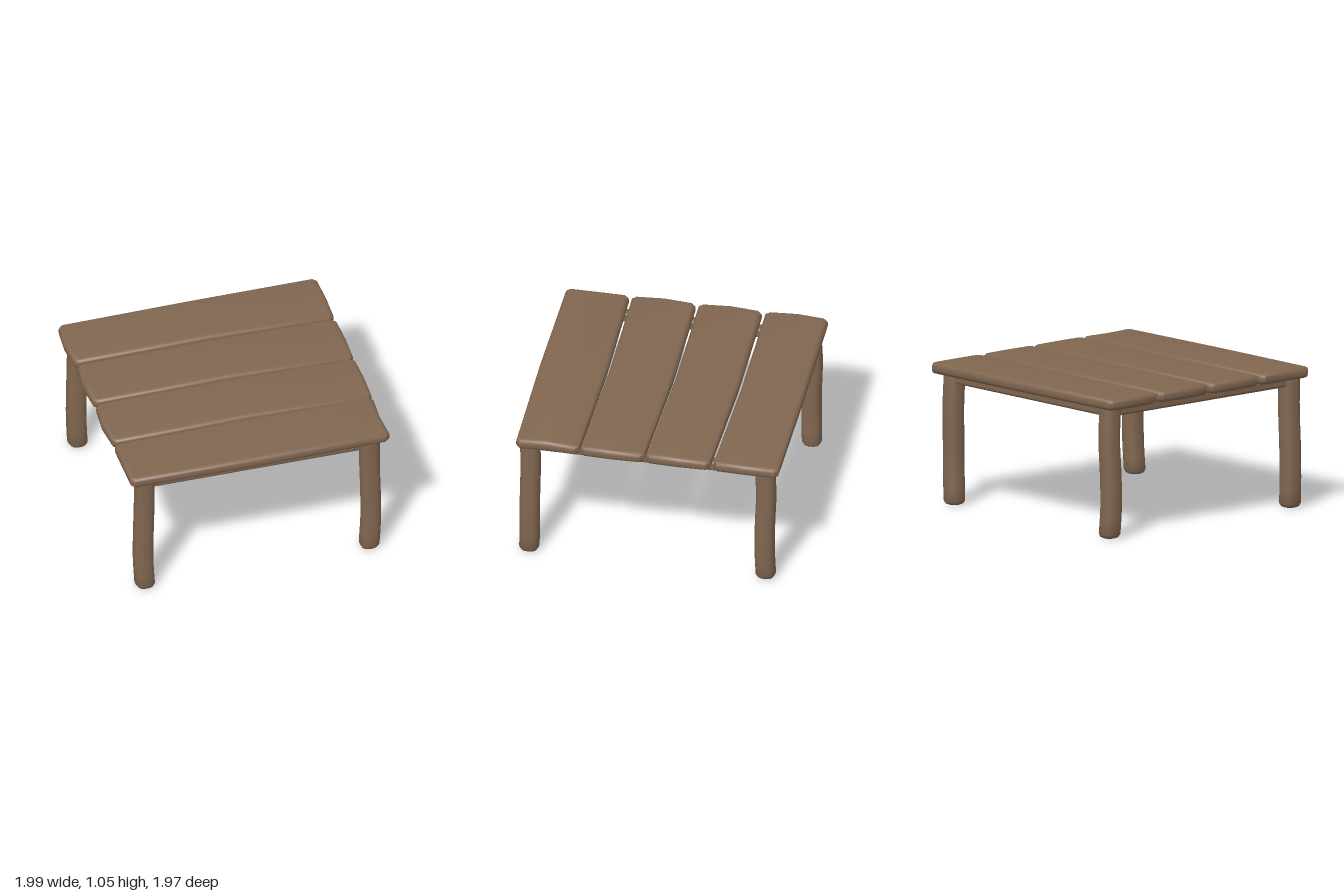
import * as THREE from 'three';
import { toCreasedNormals } from 'three/addons/utils/BufferGeometryUtils.js';
import { RoundedBoxGeometry } from 'three/addons/geometries/RoundedBoxGeometry.js';

const wood = new THREE.MeshStandardMaterial({ color: 0x806650 });

function addMesh(parent, geometry, name) {
  const mesh = new THREE.Mesh(geometry, wood);
  mesh.name = name;
  parent.add(mesh);
  return mesh;
}

// Slightly warped board: back and front edges given as z at left end, middle and right end.
function plankGeometry(back, front, endLeft, endRight) {
  const c = 0.03;
  const [lc, lm] = endLeft, [rc, rm] = endRight;
  const midL = (back[0] + front[0]) / 2, midR = (back[2] + front[2]) / 2;
  const outline = [
    [lc + c, back[0]], [0, back[1]], [rc - c, back[2]], [rc, back[2] + c],
    [rm, midR], [rc, front[2] - c], [rc - c, front[2]],
    [0, front[1]], [lc + c, front[0]], [lc, front[0] - c], [lm, midL], [lc, back[0] + c],
  ].map(([x, z]) => new THREE.Vector2(x, z));
  const bevel = 0.032;
  const geo = new THREE.ExtrudeGeometry(new THREE.Shape(outline), {
    depth: 0.019, bevelThickness: bevel, bevelSize: bevel, bevelOffset: -bevel, bevelSegments: 4,
  });
  geo.rotateX(Math.PI / 2);
  geo.translate(0, 1.047 - bevel, 0);
  return toCreasedNormals(geo, 0.7);
}

// Softly squared post whose centre wanders along the given [x, z] points from floor to top.
function legGeometry(path) {
  const r = 0.073, top = 0.97;
  const curve = new THREE.CatmullRomCurve3(
    path.map(([x, z], i) => new THREE.Vector3(x, (i / (path.length - 1)) * top, z)));
  const profile = [[0, 0], [r - 0.03, 0], [r - 0.012, 0.008], [r, 0.03]];
  for (let i = 1; i <= 10; i++) profile.push([r, 0.03 + (i / 10) * (top - 0.03)]);
  profile.push([0, top]);
  const geo = new THREE.LatheGeometry(profile.map(([x, y]) => new THREE.Vector2(x, y)), 24);
  const pos = geo.attributes.position;
  for (let i = 0; i < pos.count; i++) {
    const x = pos.getX(i), y = pos.getY(i), z = pos.getZ(i);
    const d = Math.hypot(x, z) || 1;
    const square = Math.pow(Math.abs(x / d) ** 2.6 + Math.abs(z / d) ** 2.6, -1 / 2.6);
    const k = d < 1 ? square : 1;
    const centre = curve.getPoint(y / top);
    pos.setXYZ(i, x * k + centre.x, y, z * k + centre.z);
  }
  return toCreasedNormals(geo, 0.9);
}

export function createModel() {
  const table = new THREE.Group();
  table.name = 'table';

  // Table top
  const planks = new THREE.Group();
  planks.name = 'tableTop';
  table.add(planks);
  const bulge = [-0.98, -0.998], rightEnd = [0.987, 0.993];
  [
    [[-0.967, -0.983, -0.987], [-0.5, -0.515, -0.5], bulge, rightEnd],
    [[-0.477, -0.495, -0.48], [-0.005, -0.021, 0], bulge, rightEnd],
    [[0.015, -0.008, 0.01], [0.49, 0.471, 0.487], bulge, rightEnd],
    [[0.51, 0.484, 0.493], [0.98, 0.981, 0.963], [-0.982, -0.983], [0.985, 0.973]],
  ].forEach((p, i) => addMesh(planks, plankGeometry(...p), `plank${i + 1}`));

  // Legs: offsets from the mean position, floor to top
  const legs = new THREE.Group();
  legs.name = 'legs';
  table.add(legs);
  const xLeft = [0.842, 0.857, 0.856, 0.85, 0.848];
  const xRight = [-0.856, -0.868, -0.865, -0.858, -0.858];
  const zFront = [0.887, 0.882, 0.88, 0.876, 0.88];
  const zBack = [-0.869, -0.862, -0.865, -0.873, -0.862];
  for (const [side, xs] of [['Left', xLeft], ['Right', xRight]])
    for (const [end, zs] of [['front', zFront], ['back', zBack]])
      addMesh(legs, legGeometry(xs.map((x, i) => [x, zs[i]])), `${end}${side}Leg`);

  // Rails joining the legs below the planks
  const rails = new THREE.Group();
  rails.name = 'rails';
  table.add(rails);
  const h = 0.08, y = 0.9 + h / 2;
  for (const [name, z] of [['frontRail', 0.88], ['backRail', -0.865]])
    addMesh(rails, new RoundedBoxGeometry(1.72, h, 0.08, 3, 0.022), name).position.set(-0.005, y, z);
  for (const [name, x] of [['leftRail', 0.845], ['rightRail', -0.86]])
    addMesh(rails, new RoundedBoxGeometry(0.08, h, 1.75, 3, 0.022), name).position.set(x, y, 0.008);

  return table;
}
